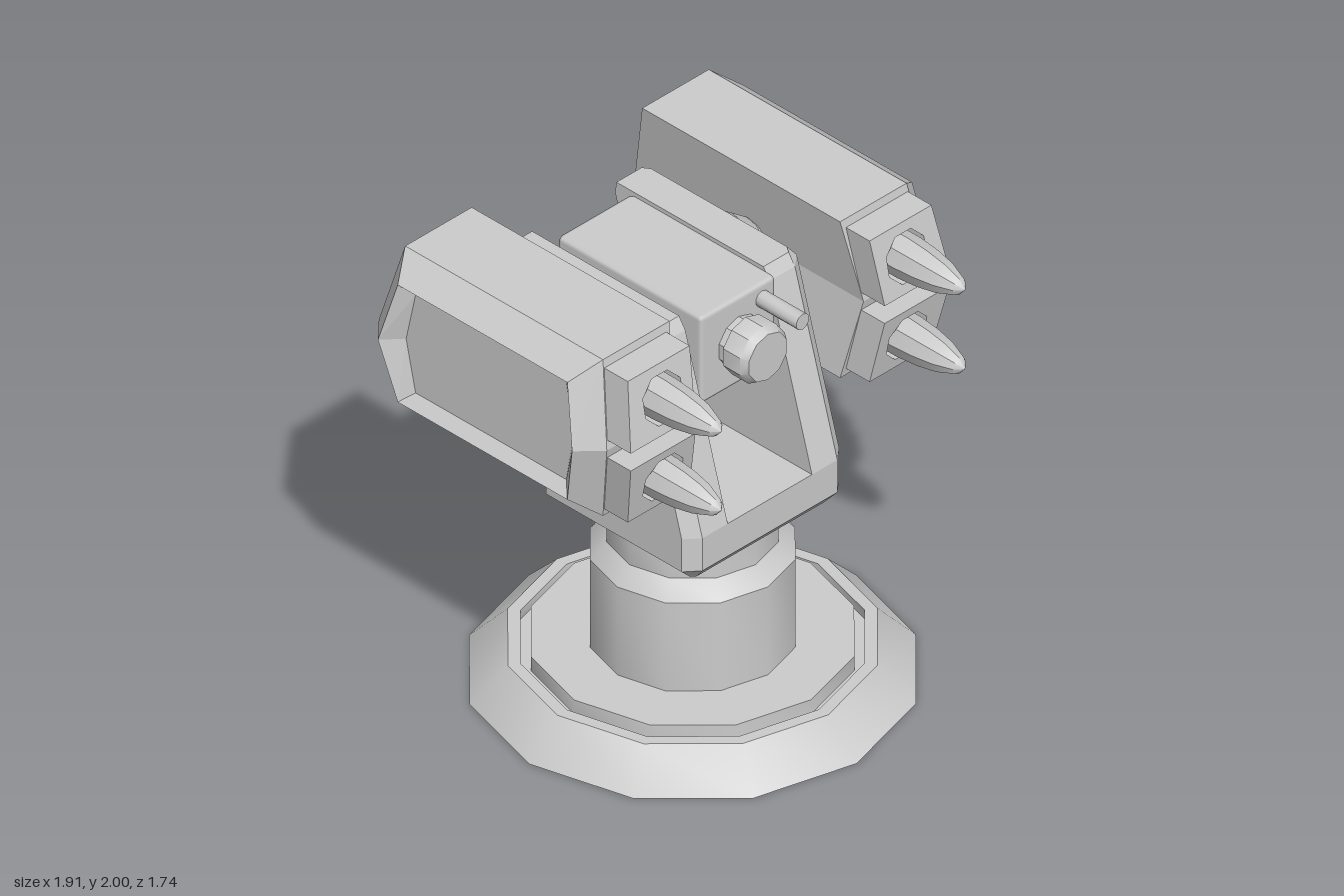
import * as THREE from 'three';
import { toCreasedNormals } from 'three/addons/utils/BufferGeometryUtils.js';
import { RoundedBoxGeometry } from 'three/addons/geometries/RoundedBoxGeometry.js';

const grey = new THREE.MeshStandardMaterial({ color: 0xcccccc });
const greyThin = new THREE.MeshStandardMaterial({ color: 0xcccccc, side: THREE.DoubleSide });
const MID = 1.64; // height of the tilt axis
const AXIS_Z = -0.2;

function add(group, name, geometry, material = grey) {
  const mesh = new THREE.Mesh(geometry, material);
  mesh.name = name;
  group.add(mesh);
  return mesh;
}

// Mirror a geometry across x = 0, keeping its faces outward
function mirrored(geometry, side) {
  if (side > 0) return geometry;
  const g = geometry.index ? geometry.toNonIndexed() : geometry.clone();
  for (const key of ['position', 'normal']) {
    const a = g.attributes[key];
    const p = a.array;
    for (let i = 0; i < p.length; i += 3) p[i] *= -1;
    for (let i = 0; i < p.length; i += 9) {
      for (let k = 0; k < 3; k++) [p[i + k], p[i + 6 + k]] = [p[i + 6 + k], p[i + k]];
    }
  }
  return g;
}

// Flat-faced loft through rings of equal length; openSides are left out of the first span
function loft(rings, { start = true, end = true, openSides = [] } = {}) {
  const pos = [];
  const quad = (a, b, c, d) => pos.push(...a, ...b, ...c, ...a, ...c, ...d);
  const n = rings[0].length;
  for (let r = 0; r < rings.length - 1; r++) {
    for (let i = 0; i < n; i++) {
      if (r === 0 && openSides.includes(i)) continue;
      const j = (i + 1) % n;
      quad(rings[r][i], rings[r][j], rings[r + 1][j], rings[r + 1][i]);
    }
  }
  const cap = (p) => {
    for (let i = 0; i < n / 2 - 1; i++) quad(p[i], p[i + 1], p[n - 2 - i], p[n - 1 - i]);
  };
  if (start) cap([...rings[0]].reverse());
  if (end) cap(rings[rings.length - 1]);
  const g = new THREE.BufferGeometry();
  g.setAttribute('position', new THREE.Float32BufferAttribute(pos, 3));
  g.computeVertexNormals();
  return g;
}

function lathe(points, sides) {
  const g = new THREE.LatheGeometry(points.map(([r, y]) => new THREE.Vector2(r, y)), sides);
  return toCreasedNormals(g, 0.6);
}

// Slope the two ends of a launcher pod away from its middle height
function bend(geometry, z, slope) {
  const p = geometry.attributes.position;
  for (let i = 0; i < p.count; i++) {
    p.setZ(i, p.getZ(i) + z + slope * Math.abs(p.getY(i) - MID) / 0.36);
  }
  geometry.computeVertexNormals();
  return geometry;
}

// Four-sided plate above (s = 1) or below (s = -1) mid height, with an octagonal bore
const BORE = { x: 0.65, dy: 0.182, r: 0.108 };
function boredShape(points, s) {
  const shape = new THREE.Shape(points.map(([x, dy]) => new THREE.Vector2(x, MID + s * dy)));
  const hole = [];
  for (let i = 0; i < 8; i++) {
    const a = (i + 0.5) * Math.PI / 4;
    hole.push(new THREE.Vector2(BORE.x + BORE.r * Math.cos(a), MID + s * BORE.dy + BORE.r * Math.sin(a)));
  }
  shape.holes.push(new THREE.Path(hole));
  return shape;
}

// Six-sided ring of the pod, seen from its side
const podRing = (x, xMid, h, front, frontMid, back, backMid) => [
  [x, MID + h, front], [xMid, MID, frontMid], [x, MID - h, front],
  [x, MID - h, back], [xMid, MID, backMid], [x, MID + h, back],
];

function createPod(side) {
  const pod = new THREE.Group();
  pod.name = side > 0 ? 'leftLauncher' : 'rightLauncher';
  const put = (name, g, mat) => add(pod, name, mirrored(g, side), mat);

  // Casing with a raised frame round a sunken side panel
  put('casing', loft([
    podRing(0.455, 0.51, 0.36, 0.33, 0.4, -0.72, -0.81),
    podRing(0.81, 0.86, 0.36, 0.33, 0.4, -0.72, -0.81),
    podRing(0.92, 0.955, 0.27, 0.25, 0.31, -0.65, -0.72),
    podRing(0.875, 0.875, 0.225, 0.2, 0.24, -0.6, -0.65),
  ], { openSides: [0, 1, 3, 4] }));

  const face = [[0.455, 0.36], [0.81, 0.36], [0.86, 0], [0.51, 0]];
  const block = [[0.48, 0.325], [0.81, 0.325], [0.85, 0.04], [0.505, 0.04]];
  for (const s of [1, -1]) {
    const y = MID + s * BORE.dy;
    put('frontPlate', bend(new THREE.ShapeGeometry(boredShape(face, s)), 0.4, -0.07), greyThin);
    put('backPlate', bend(new THREE.ShapeGeometry(boredShape(face, s)), -0.81, 0.09), greyThin);
    put('muzzleBlock', bend(new THREE.ExtrudeGeometry(boredShape(block, s),
      { depth: 0.14, bevelEnabled: false }), 0.385, -0.07));

    // Bore running the length of the pod
    const tube = new THREE.CylinderGeometry(BORE.r, BORE.r, 1.16, 8, 1, true, Math.PI / 8);
    put('launchTube', toCreasedNormals(tube.rotateX(Math.PI / 2).translate(BORE.x, y, -0.19), 0.1), greyThin);

    // Missile with a pointed nose and a tail nozzle
    const missile = lathe([[0, -0.6], [0.06, -0.7], [0.045, -0.6], [0.088, -0.52], [0.088, 0.5],
      [0.08, 0.6], [0.064, 0.69], [0.035, 0.77], [0, 0.8]], 8);
    put('missile', missile.rotateX(Math.PI / 2).translate(BORE.x, y, 0));
  }

  // Collar joining pod and yoke
  const collar = new THREE.CylinderGeometry(0.1, 0.16, 0.08, 12).rotateZ(-Math.PI / 2);
  put('collar', toCreasedNormals(collar.translate(0.45, MID, AXIS_Z), 0.6));
  return pod;
}

function createYoke() {
  const yoke = new THREE.Group();
  yoke.name = 'yoke';
  const baseRing = (y, xi, xh, zi, zh) => [
    [-xi, y, zh], [xi, y, zh], [xh, y, zi], [xh, y, -zi],
    [xi, y, -zh], [-xi, y, -zh], [-xh, y, -zi], [-xh, y, zi],
  ];
  add(yoke, 'yokeBase', loft([
    baseRing(0.78, 0.34, 0.36, 0.34, 0.36),
    baseRing(0.84, 0.36, 0.42, 0.36, 0.41),
    baseRing(0.99, 0.36, 0.42, 0.36, 0.41),
  ]));
  // Arms lean backwards
  const armRing = (y, c, xi, xh, zi, zh) => [
    [0.225, y, c + zh], [xi, y, c + zh], [xh, y, c + zi],
    [xh, y, c - zi], [xi, y, c - zh], [0.225, y, c - zh],
  ];
  const arm = loft([
    armRing(0.99, 0, 0.36, 0.42, 0.36, 0.41),
    armRing(1.77, -0.225, 0.36, 0.42, 0.36, 0.41),
    armRing(1.82, -0.238, 0.36, 0.38, 0.36, 0.39),
  ]);
  for (const side of [1, -1]) add(yoke, side > 0 ? 'leftArm' : 'rightArm', mirrored(arm, side));
  return yoke;
}

export function createModel() {
  const model = new THREE.Group();
  model.name = 'launcherTurret';

  // Flared foot, open below, round a flat disc
  add(model, 'foot', lathe([[0.87, 0], [0.72, 0.15], [0.67, 0.15], [0.67, 0.11], [0.62, 0.11]], 12), greyThin);
  add(model, 'footDisc', lathe([[0, 0.1], [0.63, 0.1], [0.63, 0.175], [0, 0.175]], 12));
  add(model, 'column', lathe([[0.4, 0.17], [0.4, 0.58], [0.335, 0.65], [0.335, 0.79]], 12), greyThin);

  model.add(createYoke());

  // Sight housing between the arms
  const sight = new THREE.Group();
  sight.name = 'sight';
  add(sight, 'housing', new RoundedBoxGeometry(0.4, 0.4, 0.765, 1, 0.02).translate(0, MID, -0.138));
  const lens = lathe([[0.11, 0.2], [0.11, 0.27], [0.125, 0.28], [0.125, 0.37], [0.105, 0.4], [0, 0.4]], 10);
  add(sight, 'lens', lens.rotateX(Math.PI / 2).translate(0, MID, 0));
  const rod = new THREE.CylinderGeometry(0.035, 0.035, 0.24, 10).rotateX(Math.PI / 2);
  add(sight, 'sensorRod', toCreasedNormals(rod.translate(0.125, 1.77, 0.34), 0.7));
  model.add(sight);

  const axle = new THREE.CylinderGeometry(0.095, 0.095, 1.06, 12).rotateZ(Math.PI / 2);
  add(model, 'axle', toCreasedNormals(axle.translate(0, MID, AXIS_Z), 0.6));

  for (const side of [1, -1]) model.add(createPod(side));
  return model;
}
